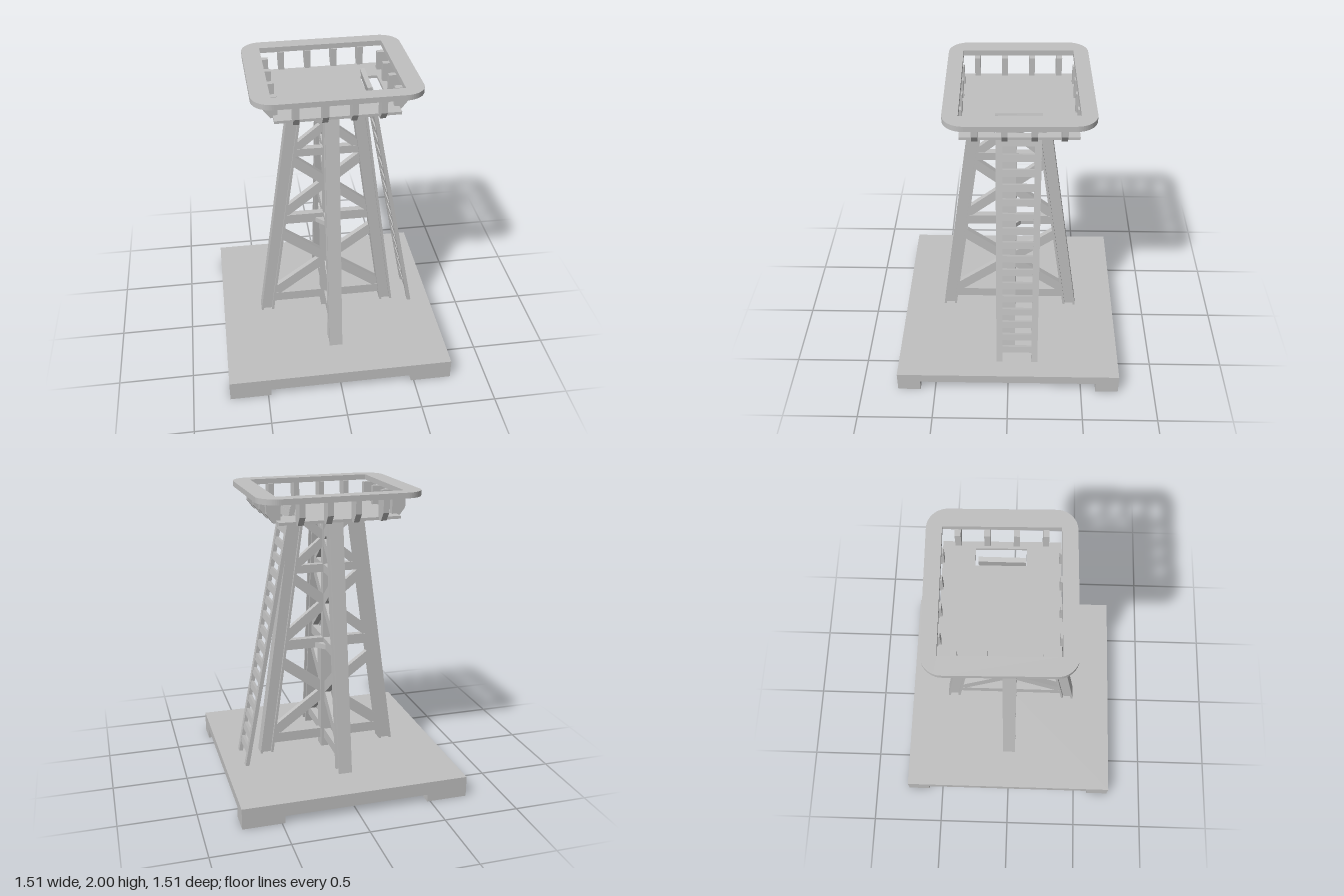
import * as THREE from 'three';

const steel = new THREE.MeshStandardMaterial({ color: 0xc0c0c0 });
steel.name = 'pale grey';

function add(parent, name, geometry, x = 0, y = 0, z = 0) {
  const mesh = new THREE.Mesh(geometry, steel);
  mesh.name = name;
  mesh.position.set(x, y, z);
  parent.add(mesh);
  return mesh;
}
const box = (parent, name, w, h, d, x, y, z) => add(parent, name, new THREE.BoxGeometry(w, h, d), x, y, z);

function group(parent, name) {
  const g = new THREE.Group();
  g.name = name;
  parent.add(g);
  return g;
}

// Flat bar in the x-y plane between two points
function bar(parent, name, x1, y1, x2, y2, width, depth) {
  const m = box(parent, name, Math.hypot(x2 - x1, y2 - y1), width, depth, (x1 + x2) / 2, (y1 + y2) / 2, 0);
  m.rotation.z = Math.atan2(y2 - y1, x2 - x1);
  return m;
}

// Rectangle path with optional rounded corners
function rect(path, x0, y0, x1, y1, r = 0) {
  if (!r) {
    path.moveTo(x0, y0).lineTo(x1, y0).lineTo(x1, y1).lineTo(x0, y1).closePath();
    return path;
  }
  path.moveTo(x0 + r, y0);
  path.absarc(x1 - r, y0 + r, r, -Math.PI / 2, 0);
  path.absarc(x1 - r, y1 - r, r, 0, Math.PI / 2);
  path.absarc(x0 + r, y1 - r, r, Math.PI / 2, Math.PI);
  path.absarc(x0 + r, y0 + r, r, Math.PI, Math.PI * 1.5);
  return path;
}

// Horizontal slab from a plan shape (shape y points to -z)
function slab(shape, height) {
  return new THREE.ExtrudeGeometry(shape, { depth: height, bevelEnabled: false, curveSegments: 8 }).rotateX(-Math.PI / 2);
}

function buildBase(model) {
  const base = group(model, 'base');
  box(base, 'baseSlab', 1.51, 0.065, 1.51, 0, 0.1075, 0);
  for (const s of [-1, 1]) {
    box(base, 'baseSkirt', 1.51, 0.025, 0.155, 0, 0.0625, s * 0.6775);
    for (const t of [-1, 1]) box(base, 'baseFoot', 0.275, 0.05, 0.155, t * 0.6175, 0.025, s * 0.6775);
  }
}

function buildTower(model) {
  const tower = group(model, 'tower');
  // Four leaning beam legs, one on each axis
  for (let i = 0; i < 4; i++) {
    const arm = group(tower, 'legArm');
    arm.rotation.y = i * Math.PI / 2;
    const leg = group(arm, 'leg');
    leg.position.set(0.325, 0.94, 0);
    leg.rotation.z = 0.141;
    box(leg, 'legWeb', 0.06, 1.745, 0.05, 0, 0, 0);
    for (const s of [-1, 1]) box(leg, 'legFlange', 0.016, 1.745, 0.09, s * 0.037, 0, 0);
  }
  // Two crossing braced frames through the centre
  for (let i = 0; i < 2; i++) {
    const frame = group(tower, 'bracedFrame');
    frame.rotation.y = i * Math.PI / 2;
    for (const [y, half, h] of [[0.235, 0.4, 0.07], [0.915, 0.3, 0.07], [1.44, 0.23, 0.055]])
      box(frame, 'crossBeam', half * 2, h, 0.045, 0, y, 0);
    for (const [x1, y1, x2, y2, w] of [
      [0.4, 0.265, 0.315, 0.79, 0.07],
      [0.3, 0.96, 0.235, 1.385, 0.065],
      [0.225, 1.455, 0.175, 1.785, 0.055]])
      for (const s of [-1, 1]) bar(frame, 'diagonalBrace', -s * x1, y1, s * x2, y2, w, 0.04);
  }
  // Stepped centre post
  box(tower, 'lowerPost', 0.088, 0.76, 0.088, 0, 0.5, 0);
  box(tower, 'upperPost', 0.05, 0.94, 0.05, 0, 1.36, 0);
  box(tower, 'postCap', 0.145, 0.035, 0.145, 0, 0.898, 0).rotation.y = Math.PI / 4;
}

function buildLadder(model) {
  const ladder = group(model, 'ladder');
  const bottom = [0.618, 0.09], top = [0.275, 1.89];
  const lean = Math.atan2(bottom[0] - top[0], top[1] - bottom[1]);
  const xAt = y => bottom[0] + (y - bottom[1]) / (top[1] - bottom[1]) * (top[0] - bottom[0]);
  for (const z of [-0.18, 0.06]) bar(ladder, 'ladderRail', ...bottom, ...top, 0.026, 0.042).position.z = z;
  for (let i = 0; i < 17; i++) {
    const y = 0.235 + i * 0.1;
    box(ladder, 'ladderRung', 0.02, 0.048, 0.2, xAt(y), y, -0.06).rotation.z = lean;
  }
  // Bar at the head of the ladder
  box(ladder, 'ladderHead', 0.03, 0.085, 0.285, 0.272, 1.868, -0.06).rotation.z = lean;
}

function buildPlatform(model) {
  const platform = group(model, 'platform');
  platform.position.set(0.027, 0, -0.058);
  platform.rotation.y = 0.018;

  // Floor with ladder opening
  const floor = rect(new THREE.Shape(), -0.392, -0.36, 0.392, 0.36);
  floor.holes.push(rect(new THREE.Path(), 0.23, -0.15, 0.345, 0.16));
  add(platform, 'floor', slab(floor, 0.018), 0, 1.824, 0);

  // Rounded top rail
  const rail = rect(new THREE.Shape(), -0.528, -0.453, 0.528, 0.453, 0.13);
  rail.holes.push(rect(new THREE.Path(), -0.408, -0.357, 0.408, 0.357));
  add(platform, 'topRail', slab(rail, 0.035), 0, 1.965, 0);

  // Brackets: tapered fins around the floor, carrying the rail
  const profile = new THREE.Shape([[0, 1.824], [0.045, 1.824], [0.088, 1.88], [0.088, 1.966], [0, 1.966]]
    .map(([x, y]) => new THREE.Vector2(x, y)));
  const fin = new THREE.ExtrudeGeometry(profile, { depth: 0.037, bevelEnabled: false }).translate(0, 0, -0.0185);
  for (let side = 0; side < 4; side++) {
    const row = group(platform, 'bracketRow');
    row.rotation.y = side * Math.PI / 2;
    const inner = side % 2 ? 0.346 : 0.362;
    for (let i = 0; i < 4; i++) add(row, 'bracket', fin, inner, 0, (i - 1.5) * 0.177);
  }
}

export function createModel() {
  const model = new THREE.Group();
  model.name = 'watchtower';
  buildBase(model);
  buildTower(model);
  buildLadder(model);
  buildPlatform(model);
  return model;
}
